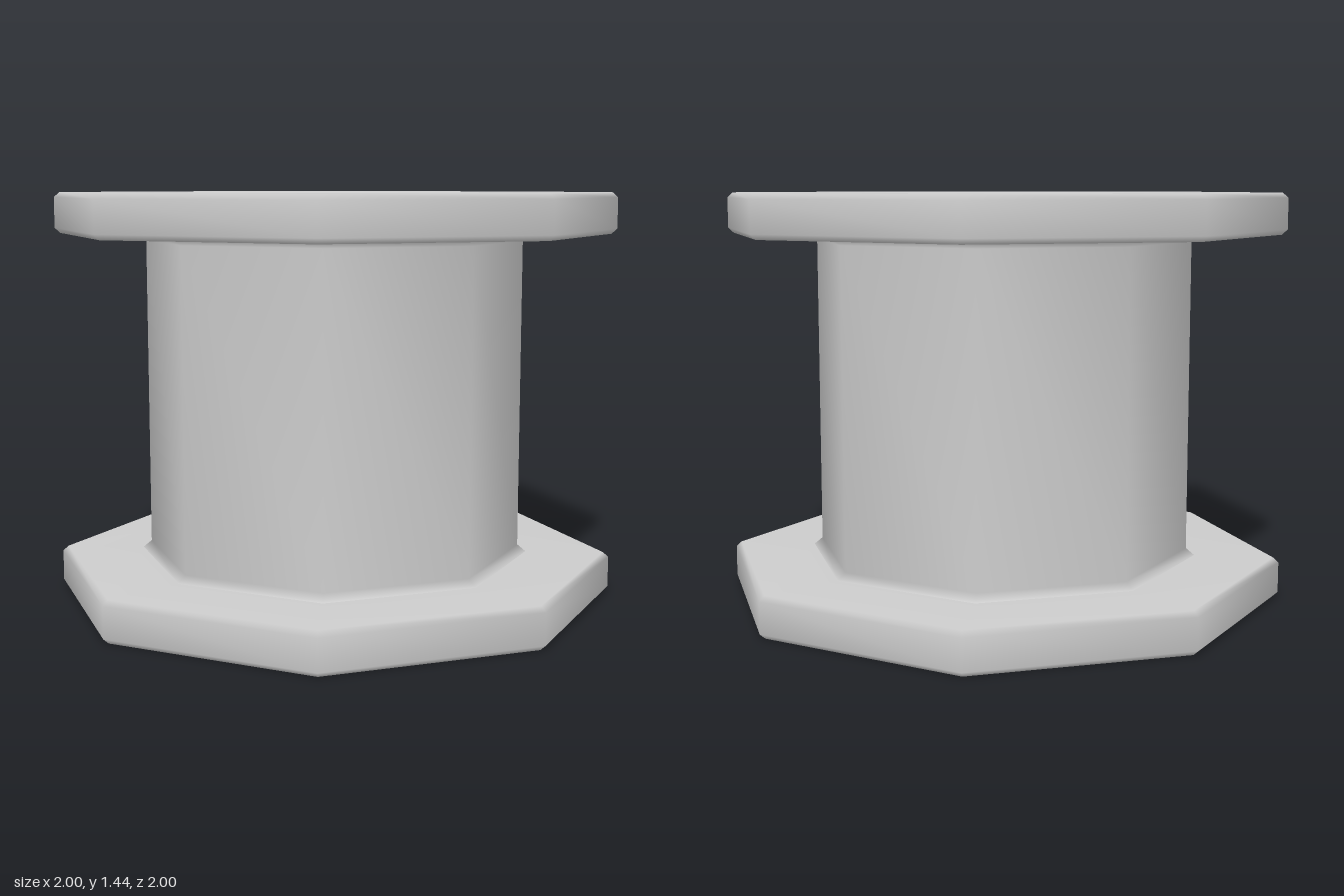
import * as THREE from 'three';
import { mergeVertices } from 'three/addons/utils/BufferGeometryUtils.js';

const HEIGHT = 1.44;
const FLANGE = 0.145;
const RECESS = 0.07;

const material = new THREE.MeshStandardMaterial({ color: 0xcccccc });

// Faceted turned part with soft, area-weighted normals; profile runs bottom to top
function turned(name, profile, sides, phase = 0) {
  const points = profile.map(([r, y]) => new THREE.Vector2(r, y));
  let geometry = new THREE.LatheGeometry(points, sides, phase);
  geometry.deleteAttribute('uv');
  geometry.deleteAttribute('normal');
  geometry = mergeVertices(geometry, 1e-4);
  geometry.computeVertexNormals();
  const mesh = new THREE.Mesh(geometry, material);
  mesh.name = name;
  return mesh;
}

// Octagonal end plate with a sunken outer face and chamfered rim
function flange(name) {
  return turned(name, [
    [0, RECESS], [0.65, RECESS], [0.675, 0],
    [0.98, 0], [1, 0.018], [1, FLANGE - 0.018], [0.98, FLANGE], [0.69, FLANGE],
  ], 8);
}

export function createModel() {
  const model = new THREE.Group();
  model.name = 'spool';

  const bottomFlange = flange('bottomFlange');
  const topFlange = flange('topFlange');
  topFlange.rotation.x = Math.PI;
  topFlange.position.y = HEIGHT;

  // Drum with a small flare where it meets each flange
  const drum = turned('drum', [
    [0.7, FLANGE], [0.67, FLANGE + 0.025],
    [0.67, HEIGHT - FLANGE - 0.025], [0.7, HEIGHT - FLANGE],
  ], 8);
  model.add(bottomFlange, topFlange, drum);

  // Four hexagonal bolt heads in the top recess
  const bolts = new THREE.Group();
  bolts.name = 'bolts';
  for (const [x, z] of [[-0.19, -0.29], [0.29, -0.185], [0.185, 0.3], [-0.295, 0.195]]) {
    const bolt = turned('bolt', [[0.2, 0], [0.2, 0.045], [0.19, 0.055], [0, 0.055]], 6, Math.PI / 2);
    bolt.position.set(x, HEIGHT - RECESS, z);
    bolts.add(bolt);
  }
  model.add(bolts);
  return model;
}
